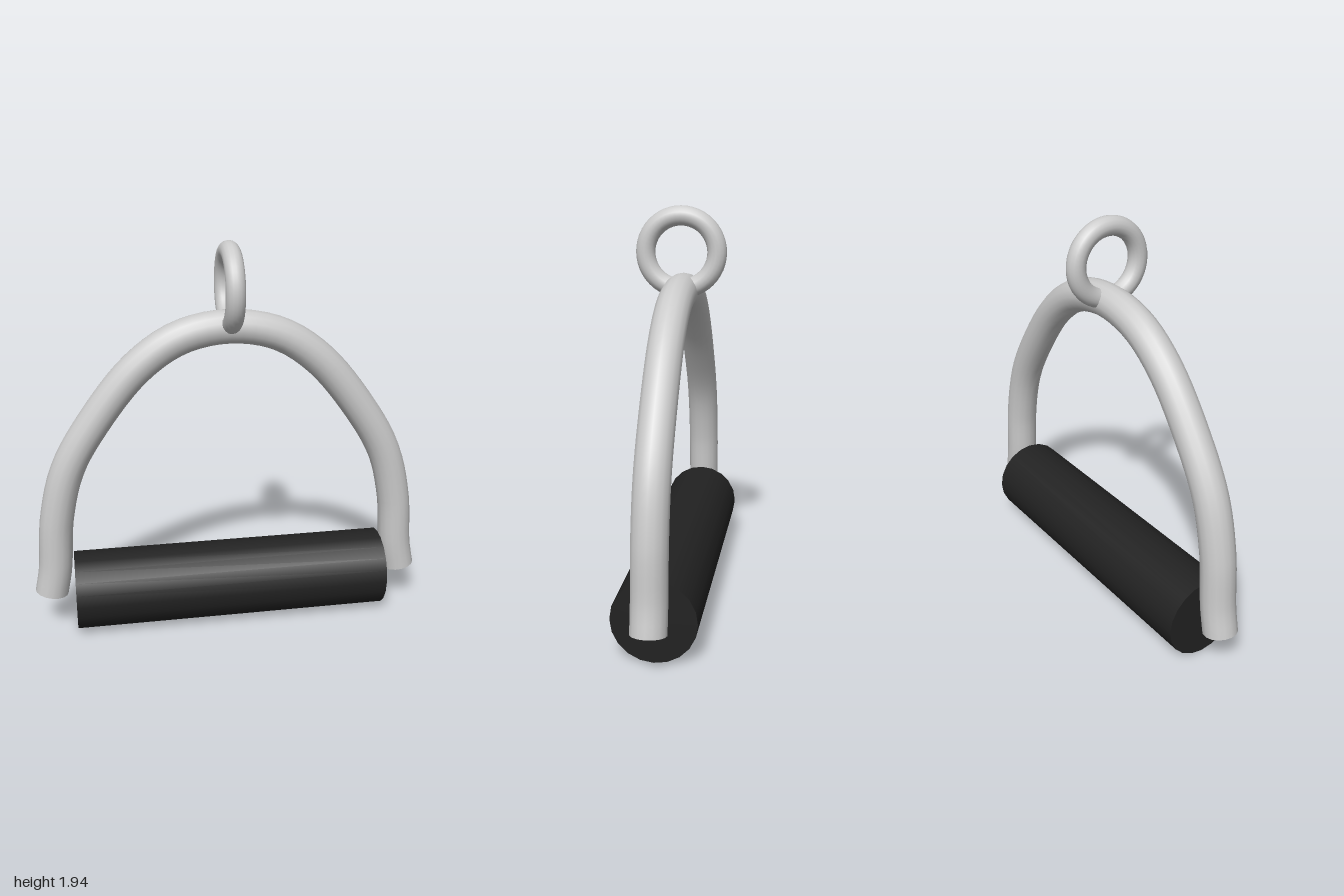
import * as THREE from 'three';

export function createModel() {
  const group = new THREE.Group();
  const grey = new THREE.MeshStandardMaterial({ color: 0xcccccc, side: THREE.DoubleSide });
  const black = new THREE.MeshStandardMaterial({ color: 0x222222 });

  const add = (name, geometry, material) => {
    const mesh = new THREE.Mesh(geometry, material);
    mesh.name = name;
    group.add(mesh);
    return mesh;
  };

  // Grip roller, lying along x
  const grip = add('grip', new THREE.CylinderGeometry(0.197, 0.197, 1.59, 20), black);
  grip.rotation.z = Math.PI / 2;
  grip.position.y = 0.197;

  // Bent bow with open ends, half the path mirrored about x = 0
  const half = [
    [-0.915, 0.2], [-0.89, 0.33], [-0.867, 0.6], [-0.8, 0.86],
    [-0.66, 1.1], [-0.445, 1.36], [-0.24, 1.495],
  ];
  const mirrored = half.map(([x, y]) => [-x, y]).reverse();
  const path = [...half, [0, 1.54], ...mirrored].map(([x, y]) => new THREE.Vector3(x, y, 0));
  add('bow', new THREE.TubeGeometry(new THREE.CatmullRomCurve3(path), 64, 0.083, 16), grey);

  // Hanging ring, standing across the bow
  const ring = add('ring', new THREE.TorusGeometry(0.172, 0.047, 16, 48), grey);
  ring.rotation.y = Math.PI / 2;
  ring.position.y = 1.725;

  return group;
}
